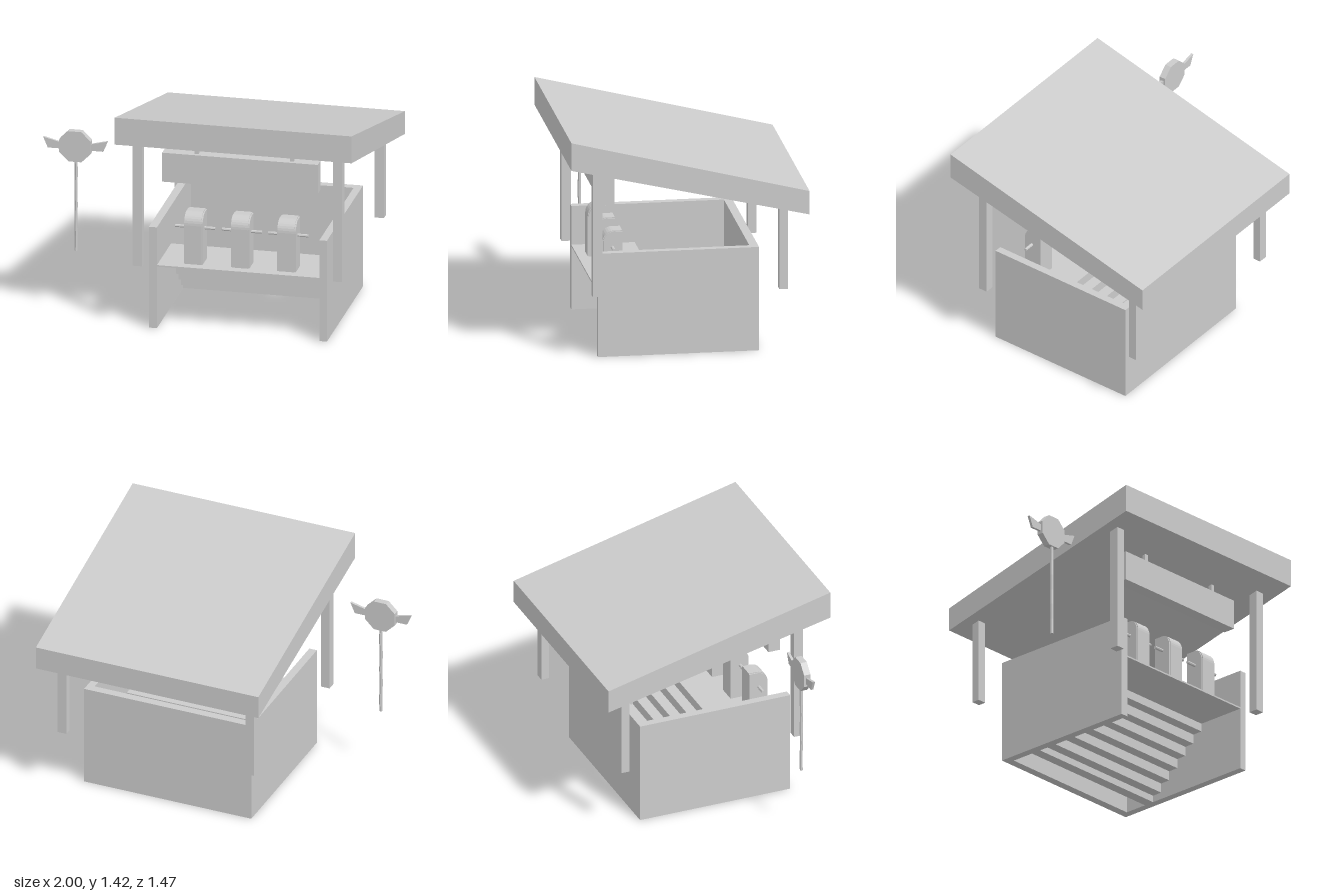
import * as THREE from 'three';

const material = new THREE.MeshStandardMaterial({ color: 0xcccccc, flatShading: true });

export function createModel() {
  const model = new THREE.Group();
  model.name = 'marketBooth';

  const add = (name, geometry) => {
    const mesh = new THREE.Mesh(geometry, material);
    mesh.name = name;
    model.add(mesh);
    return mesh;
  };

  // Box given by its limits on each axis
  const box = (name, x0, x1, y0, y1, z0, z1) =>
    add(name, new THREE.BoxGeometry(x1 - x0, y1 - y0, z1 - z0))
      .position.set((x0 + x1) / 2, (y0 + y1) / 2, (z0 + z1) / 2);

  // Side profile of [z, y] points, extruded across x
  const sideProfile = (name, points, x0, x1) => {
    const shape = new THREE.Shape(points.map(([z, y]) => new THREE.Vector2(z, y)));
    const geometry = new THREE.ExtrudeGeometry(shape, { depth: x1 - x0, bevelEnabled: false });
    geometry.rotateY(-Math.PI / 2);
    add(name, geometry).position.x = x1;
  };

  // Sloping roof
  sideProfile('roof', [[0.734, 1.245], [0.734, 1.42], [-0.734, 1.053], [-0.734, 0.905]], -0.48, 1);
  const roofUnderside = z => 1.075 + 0.232 * z;

  // Four roof posts
  for (const x of [-0.4, 0.85]) {
    box('frontPost', x, x + 0.058, 0.412, 1.21, 0.528, 0.588);
    box('backPost', x, x + 0.058, 0.412, 0.95, -0.614, -0.562);
  }

  // Booth walls
  box('rightWall', -0.31, -0.26, 0, 0.655, -0.453, 0.54);
  box('leftWall', 0.755, 0.802, 0, 0.655, -0.453, 0.54);
  box('backWall', -0.26, 0.755, 0, 0.655, -0.453, -0.4);

  // Thin counter, with steps descending behind it
  box('counter', -0.26, 0.755, 0.4, 0.41, 0.15, 0.54);
  const rise = 0.061, run = 0.067;
  for (let i = 0; i < 7; i++) {
    const top = 0.409 - i * rise;
    const front = 0.219 - i * run;
    box('step', -0.26, 0.755, Math.max(0, top - rise), top, front - run, front);
  }

  // Three dispensers with rounded fronts, a raised band and cross bars
  const dispenserProfile = grow => {
    const points = [[0.357, 0.41], [0.475 + grow, 0.41]];
    for (let i = 0; i <= 8; i++) {
      const a = (i / 8) * Math.PI / 2;
      points.push([0.41 + (0.065 + grow) * Math.cos(a), 0.66 + (0.07 + grow) * Math.sin(a)]);
    }
    points.push([0.357, 0.73 + grow]);
    return points;
  };
  for (const x of [-0.047, 0.245, 0.535]) {
    sideProfile('dispenser', dispenserProfile(0), x - 0.058, x + 0.058);
    sideProfile('dispenserBand', dispenserProfile(0.005), x - 0.05, x + 0.05);
    const bar = add('dispenserBar', new THREE.CylinderGeometry(0.01, 0.01, 0.25, 8));
    bar.rotation.z = Math.PI / 2;
    bar.position.set(x, 0.632, 0.42);
  }

  // Blank sign board hung from the roof
  box('signBoard', -0.235, 0.737, 0.942, 1.13, 0.428, 0.505);
  for (const x of [-0.025, 0.57]) {
    box('signHanger', x - 0.012, x + 0.012, 1.13, roofUnderside(0.48) + 0.01, 0.46, 0.482);
  }

  // Winged octagonal ornament
  const disc = new THREE.CylinderGeometry(0.106, 0.106, 0.042, 8);
  disc.rotateY(Math.PI / 8).rotateX(Math.PI / 2);
  add('ornamentDisc', disc).position.set(-0.798, 1.093, 0.405);
  for (const side of [-1, 1]) {
    const wing = [[0.09, 1.07], [0.173, 1.07], [0.202, 1.138], [0.09, 1.11]];
    const shape = new THREE.Shape(wing.map(([x, y]) => new THREE.Vector2(side * x, y)));
    const geometry = new THREE.ExtrudeGeometry(shape, { depth: 0.016, bevelEnabled: false });
    add(side < 0 ? 'rightWing' : 'leftWing', geometry).position.set(-0.798, 0, 0.397);
  }

  // Slightly crooked ornament stick
  const bends = [0, 0.001, -0.001, 0.001, -0.001, 0.001, 0];
  const path = new THREE.CatmullRomCurve3(
    bends.map((b, i) => new THREE.Vector3(-0.795 + b, 0.415 + i * 0.098, 0.408 - b)));
  add('ornamentStick', new THREE.TubeGeometry(path, 12, 0.01, 6));
  const cap = add('ornamentStickEnd', new THREE.CylinderGeometry(0.01, 0.01, 0.006, 6));
  cap.position.set(-0.795, 0.417, 0.408);

  return model;
}
